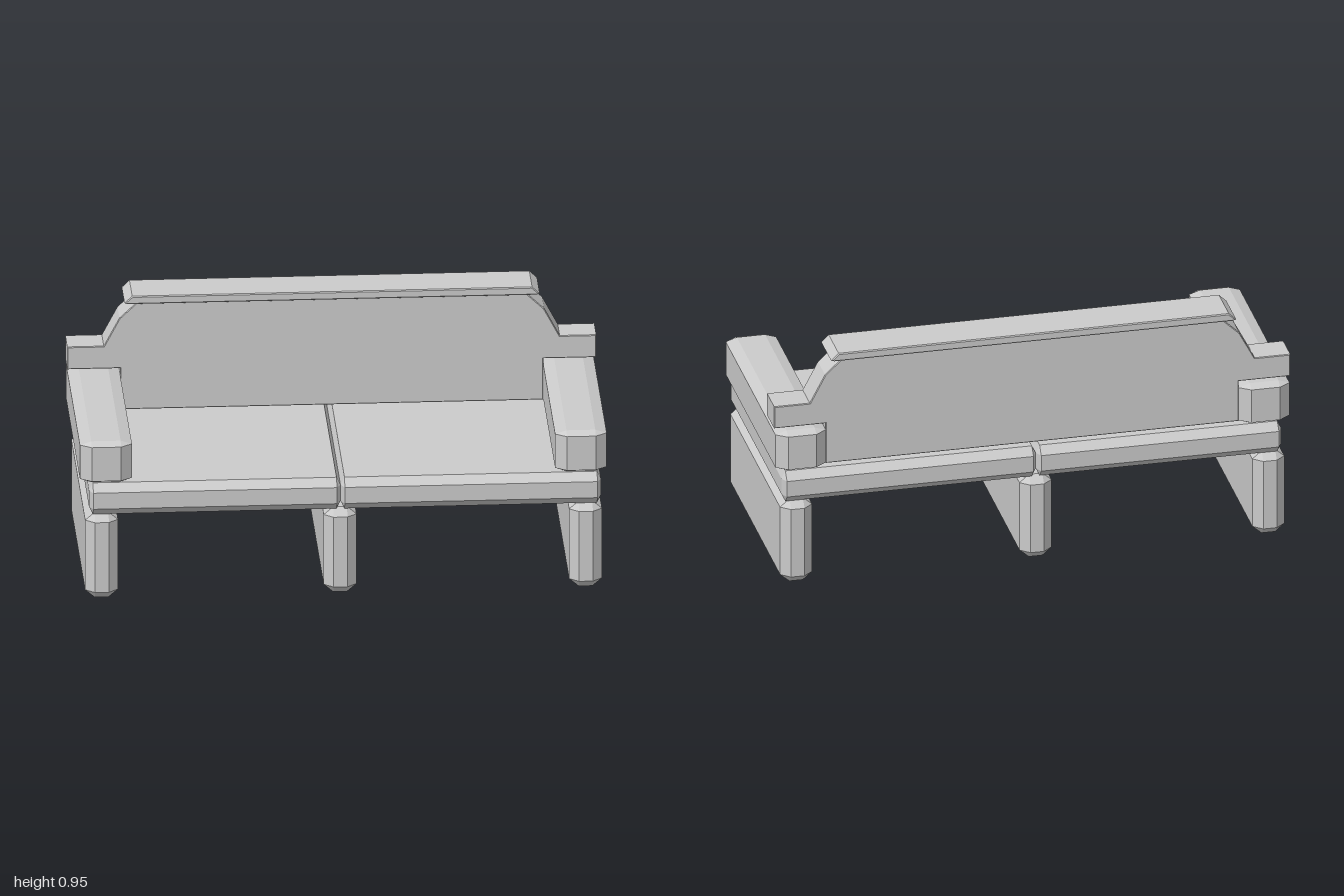
import * as THREE from 'three';
import { ConvexGeometry } from 'three/addons/geometries/ConvexGeometry.js';

const material = new THREE.MeshStandardMaterial({ color: 0xcccccc, flatShading: true });

function named(name, geometry) {
  const mesh = new THREE.Mesh(geometry, material);
  mesh.name = name;
  return mesh;
}

// Block with chamfered edges, given its min and max corners and the chamfer on each axis
function block(name, min, max, chamfer) {
  const center = min.map((v, i) => (v + max[i]) / 2);
  const half = min.map((v, i) => (max[i] - v) / 2);
  const points = [];
  for (const sx of [-1, 1]) for (const sy of [-1, 1]) for (const sz of [-1, 1]) {
    for (let face = 0; face < 3; face++) {
      const p = [sx, sy, sz].map((s, i) => center[i] + s * (half[i] - (i === face ? 0 : chamfer[i])));
      points.push(new THREE.Vector3(...p));
    }
  }
  return named(name, new ConvexGeometry(points));
}

// Symmetric front outline (right half, bottom to top) extruded from zBack to zFront
function panel(name, half, zBack, zFront, bevel) {
  const outline = [...half, ...half.map(([x, y]) => [-x, y]).reverse()];
  const shape = new THREE.Shape(outline.map(([x, y]) => new THREE.Vector2(x, y)));
  const geometry = new THREE.ExtrudeGeometry(shape, {
    depth: zFront - zBack - 2 * bevel, bevelEnabled: true, bevelSegments: 1,
    bevelSize: bevel, bevelThickness: bevel, bevelOffset: -bevel,
  });
  geometry.translate(0, 0, zBack + bevel);
  return named(name, geometry);
}

export function createModel() {
  const group = new THREE.Group();
  group.name = 'bench';

  // Three full-depth slab legs
  [['rightLeg', -0.915], ['middleLeg', -0.013], ['leftLeg', 0.915]].forEach(([name, x]) =>
    group.add(block(name, [x - 0.062, 0, -0.442], [x + 0.062, 0.345, 0.445], [0.036, 0.031, 0.031])));

  // Two seat slabs meeting in a V groove
  group.add(block('rightSeat', [-0.963, 0.34, -0.447], [-0.012, 0.467, 0.45], [0.015, 0.031, 0.029]));
  group.add(block('leftSeat', [-0.012, 0.34, -0.447], [0.973, 0.467, 0.45], [0.015, 0.031, 0.029]));

  // Armrests
  group.add(block('rightArm', [-0.997, 0.468, -0.442], [-0.8, 0.633, 0.445], [0.043, 0.014, 0.031]));
  group.add(block('leftArm', [0.8, 0.468, -0.442], [0.995, 0.633, 0.445], [0.043, 0.014, 0.031]));

  // Backrest with side lugs over the arms
  group.add(panel('backrest', [
    [0.8, 0.48], [0.8, 0.647], [1, 0.647], [1, 0.738],
    [0.862, 0.738], [0.803, 0.85], [0.732, 0.917],
  ], -0.414, -0.291, 0.003));

  // Cap rail with slanted ends
  group.add(panel('topRail', [
    [0.772, 0.915], [0.785, 0.919], [0.756, 0.947],
  ], -0.44, -0.267, 0.004));

  return group;
}
